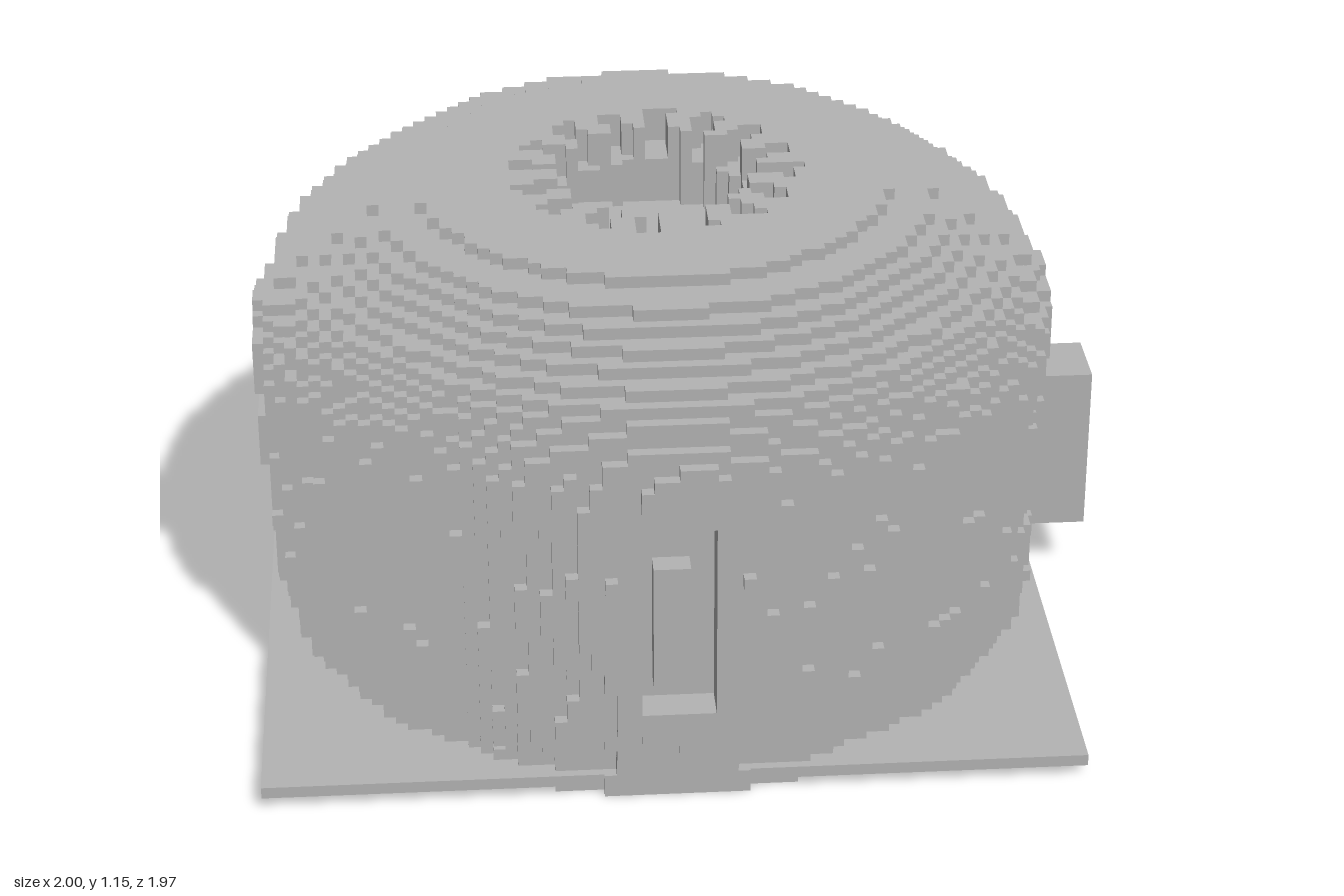
import * as THREE from 'three';

const V = 2 / 73, X0 = -1, Z0 = -36 * V;        // block size and grid origin
const CX = X0 + 34 * V, CZ = Z0 + 38 * V;       // dome axis
const NX = 73, NY = 42, NZ = 72;

// Dome radius by height
const profile = [[0, .85], [.1, .855], [.12, .88], [.2, .9], [.45, .91], [.66, .91], [.74, .925], [.82, .925],
  [.88, .905], [.93, .88], [.98, .845], [1.03, .77], [1.08, .7], [1.11, .65], [1.137, .55], [1.2, .5]];

function radiusAt(y) {
  for (let n = 1; n < profile.length; n++) {
    const [y0, r0] = profile[n - 1], [y1, r1] = profile[n];
    if (y <= y1) return r0 + (r1 - r0) * (y - y0) / (y1 - y0);
  }
  return 0;
}

const within = (v, a, b) => v > a && v < b;

// Small repeatable roughness per block
function hash(i, j, k) {
  const s = Math.sin(i * 12.9898 + j * 78.233 + k * 37.719) * 43758.5453;
  return s - Math.floor(s);
}

function domeFilled(i, j, k) {
  if (i < 0 || j < 0 || k < 0 || i >= NX || j >= NY || k >= NZ) return false;
  const x = X0 + (i + .5) * V, y = (j + .5) * V, z = Z0 + (k + .5) * V;
  const dx = x - CX, dz = z - CZ, r = Math.hypot(dx, dz), a = Math.atan2(dz, dx);
  let R = radiusAt(y);

  // Foundation ring below the plate
  if (j === 0) return r < R && r > R - 1.3 * V;

  // Weathered walls
  if (within(y, .06, .9)) {
    R += .008 * Math.sin(a * 16 + Math.sin(y * 9) * 2) + .012 * (hash(i >> 1, j >> 2, k >> 1) - .5);
  }

  // Front doorway: raised frame, recessed opening and a centre post
  if (dz > .6 && within(y, .2, .78) && within(x, -.21, .07)) {
    const opening = within(x, -.16, .02) && within(y, .24, .72);
    const post = within(x, -.11, -.03) && within(y, .3, .6);
    return z < (!opening ? .955 : post ? .93 : .88);
  }

  // Flat recess beside the side porch
  if (dx > .6 && within(y, .14, .58) && within(z, -.3, .05 + (y - .14) * .9) && x > .805) return false;

  // Slots in the back wall
  if (dz < -.6 && within(y, .56, .72) && within(x, -.4, .28)) {
    if (((i - 20) % 5 + 5) % 5 < 2) R -= .06;
  }

  // Sunken crown with a ring of notches and a raised wedge on its floor
  const hx = x + .06, hz = z - .04, hr = Math.hypot(hx, hz);
  const ha = (Math.atan2(hz, hx) / (Math.PI * 2) + 1) * 16 % 1;
  const wedge = hx < .15 && Math.abs(hz) < (.15 - hx) * .65;
  if (hr < .23 && y > (wedge ? .99 : .96)) return false;
  if (hr >= .23 && hr < .335 && ha < .5 && y > 1.06) return false;
  return r < R;
}

// The six sides of a block: direction and corner order
const sides = [0, 1, 2].flatMap(axis => [1, -1].map(sign => {
  const u = (axis + 1) % 3, w = (axis + 2) % 3;
  const quad = [[0, 0], [1, 0], [1, 1], [0, 1]].map(([p, q]) => {
    const c = [0, 0, 0];
    c[axis] = sign > 0 ? 1 : 0;
    c[u] = p;
    c[w] = q;
    return c;
  });
  const dir = [0, 0, 0];
  dir[axis] = sign;
  if (sign < 0) quad.reverse();
  return { dir, corners: [0, 1, 2, 0, 2, 3].map(n => quad[n]) };
}));

// Skin only the exposed faces of the block grid
function blockGeometry(filled) {
  const pos = [], nor = [];
  for (let i = 0; i < NX; i++) for (let j = 0; j < NY; j++) for (let k = 0; k < NZ; k++) {
    if (!filled(i, j, k)) continue;
    for (const { dir, corners } of sides) {
      if (filled(i + dir[0], j + dir[1], k + dir[2])) continue;
      for (const c of corners) {
        pos.push(X0 + (i + c[0]) * V, (j + c[1]) * V, Z0 + (k + c[2]) * V);
        nor.push(...dir);
      }
    }
  }
  const g = new THREE.BufferGeometry();
  g.setAttribute('position', new THREE.Float32BufferAttribute(pos, 3));
  g.setAttribute('normal', new THREE.Float32BufferAttribute(nor, 3));
  return g;
}

export function createModel() {
  const stone = new THREE.MeshStandardMaterial({ color: 0xb4b4b4 });
  stone.name = 'grey stone';
  const model = new THREE.Group();
  model.name = 'blockDome';

  const add = (name, geometry) => {
    const mesh = new THREE.Mesh(geometry, stone);
    mesh.name = name;
    model.add(mesh);
    return mesh;
  };
  // Box given by its minimum and maximum corners
  const box = (name, x0, x1, y0, y1, z0, z1) =>
    add(name, new THREE.BoxGeometry(x1 - x0, y1 - y0, z1 - z0))
      .position.set((x0 + x1) / 2, (y0 + y1) / 2, (z0 + z1) / 2);

  add('dome', blockGeometry(domeFilled));
  box('groundPlate', -1, -1 + 68 * V, V, 2 * V, -.965, .898);

  // Side porch on +x
  box('sidePorch', .78, 1, .14, .55, -.17, 0);
  box('sidePorchWing', .78, .97, .14, .47, -.25, -.17);
  box('sidePorchNub', .945, .97, .4, .45, -.275, -.25);

  // Back porch: two piers, a lintel and a recessed wall
  for (const x of [-.21, 0]) box('backPier', x, x + .06, .03, .3, -.9, -.8);
  box('backPorch', -.18, .03, .03, .41, -.986, -.75);
  box('backLintel', -.21, .06, .3, .36, -.986, -.8);
  box('backPorchNub', -.1, -.045, .41, .44, -.96, -.93);

  // Small pegs beside the doorway and ledges on the -x wall
  for (const x of [-.23, .07]) box('doorPeg', x, x + .027, .575, .603, .9, .986);
  box('wallLedge', -1, -.9, .47, .6, -.06, .16);
  box('wallLedge', -1, -.9, .69, .82, -.12, .22);
  return model;
}
